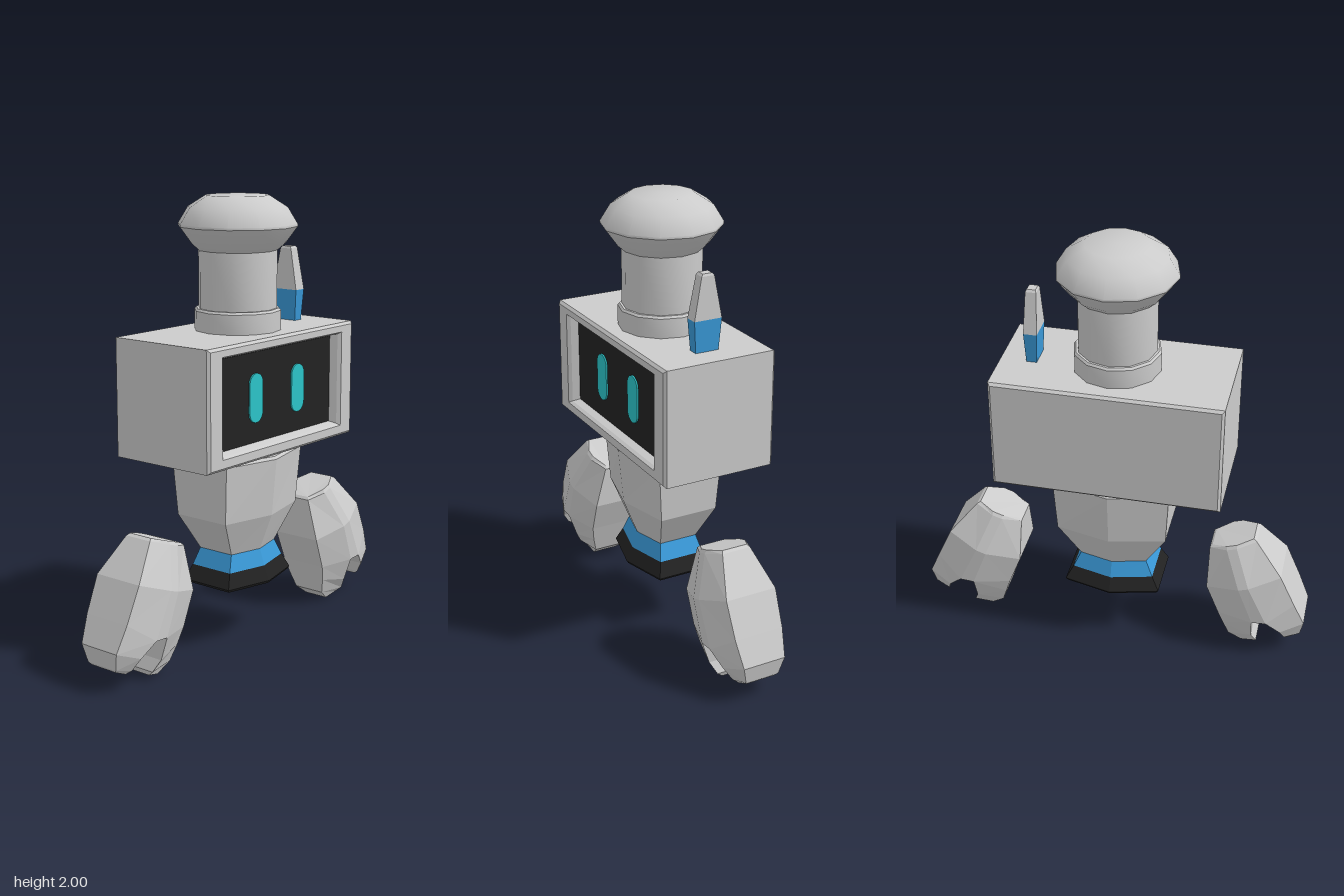
import * as THREE from 'three';
import { toCreasedNormals } from 'three/addons/utils/BufferGeometryUtils.js';

const GREY = 0xcccccc, BLUE = 0x3a9ad9, BLACK = 0x222222, CYAN = 0x2cc5c9;

function addMesh(parent, name, geometry, color = GREY, flatShading = true) {
  const mesh = new THREE.Mesh(geometry, new THREE.MeshStandardMaterial({ color, flatShading }));
  mesh.name = name;
  parent.add(mesh);
  return mesh;
}

// Closed solid through rings of [x, y, z] points, turned so its faces point outwards
function loft(rings) {
  const n = rings[0].length, last = rings.length - 1, tris = [];
  const cap = (ring, flip) => {
    for (let i = 1; i < n - 1; i++) {
      tris.push(flip ? [ring[0], ring[i + 1], ring[i]] : [ring[0], ring[i], ring[i + 1]]);
    }
  };
  for (let r = 0; r < last; r++) {
    for (let i = 0; i < n; i++) {
      const j = (i + 1) % n, a = rings[r], b = rings[r + 1];
      tris.push([a[i], a[j], b[j]], [a[i], b[j], b[i]]);
    }
  }
  cap(rings[0], true);
  cap(rings[last], false);
  const vec = (p) => new THREE.Vector3(...p);
  const volume = tris.reduce((sum, [a, b, c]) => sum + vec(a).dot(vec(b).cross(vec(c))), 0);
  if (volume < 0) tris.forEach((t) => t.reverse());
  const geometry = new THREE.BufferGeometry();
  geometry.setAttribute('position', new THREE.Float32BufferAttribute(tris.flat(2), 3));
  geometry.computeVertexNormals();
  return geometry;
}

// Upright rectangle at depth z
const frame = (hx, hy, cy, z) =>
  [[-hx, cy - hy, z], [hx, cy - hy, z], [hx, cy + hy, z], [-hx, cy + hy, z]];

// Level six-sided ring with a corner at the front and back
const hexagon = ([y, x, z]) => {
  const s = z * 0.7;
  return [[x, y, s], [0, y, z], [-x, y, s], [-x, y, -s], [0, y, -z], [x, y, -s]];
};

// Level rectangle around a centre cx
const slab = ([y, x, z], cx) => [[cx - x, y, z], [cx + x, y, z], [cx + x, y, -z], [cx - x, y, -z]];

// Ring from [x, y, half thickness] points, run along the front and back again behind
const thick = (points, side) => [
  ...points.map(([x, y, z]) => [x * side, y, z]),
  ...[...points].reverse().map(([x, y, z]) => [x * side, y, -z]),
];

function createHead() {
  const head = new THREE.Group();
  head.name = 'head';
  const cy = 1.153, sy = 1.157;
  addMesh(head, 'headShell', loft([
    frame(0.498, 0.25, cy, -0.265),
    frame(0.51, 0.262, cy, -0.253),
    frame(0.51, 0.262, cy, 0.253),
    frame(0.498, 0.25, cy, 0.265),
    frame(0.422, 0.217, sy, 0.265),
    frame(0.41, 0.208, sy, 0.25),
    frame(0.395, 0.198, sy, 0.215),
  ]));
  const screen = addMesh(head, 'screen', new THREE.BoxGeometry(0.79, 0.396, 0.01), BLACK);
  screen.position.set(0, sy, 0.213);

  // Upright capsule eyes
  const shape = new THREE.Shape();
  shape.absarc(0, 0.063, 0.045, 0, Math.PI);
  shape.absarc(0, -0.063, 0.045, Math.PI, Math.PI * 2);
  for (const side of [-1, 1]) {
    const eye = addMesh(head, side > 0 ? 'leftEye' : 'rightEye',
      new THREE.ExtrudeGeometry(shape, { depth: 0.008, bevelEnabled: false, curveSegments: 8 }), CYAN);
    eye.position.set(side * 0.147, 1.155, 0.217);
  }
  return head;
}

function createHat() {
  const hat = new THREE.Group();
  hat.name = 'hat';
  const turned = (name, profile) => {
    const points = profile.map(([r, y]) => new THREE.Vector2(r, y));
    addMesh(hat, name, toCreasedNormals(new THREE.LatheGeometry(points, 12), 0.61), GREY, false);
  };
  turned('hatBand', [[0.193, 1.41], [0.193, 1.502], [0.185, 1.512], [0, 1.512]]);
  turned('hatColumn', [[0.175, 1.5], [0.175, 1.77]]);
  turned('hatCrown', [[0, 1.76], [0.17, 1.76], [0.21, 1.795], [0.264, 1.868], [0.264, 1.878],
    [0.22, 1.95], [0.14, 2], [0, 2]]);
  return hat;
}

function createAntenna() {
  const antenna = new THREE.Group();
  antenna.name = 'antenna';
  const part = (name, rows, color) => addMesh(antenna, name, loft(rows.map((r) => slab(r, 0.37))), color);
  part('antennaBase', [[1.41, 0.023, 0.054], [1.556, 0.03, 0.065]], BLUE);
  part('antennaTip', [[1.556, 0.03, 0.065], [1.742, 0.024, 0.03], [1.752, 0.019, 0.022]], GREY);
  return antenna;
}

function createBody() {
  const body = new THREE.Group();
  body.name = 'body';
  const part = (name, rows, color) => addMesh(body, name, loft(rows.map(hexagon)), color);
  part('torso', [[0.867, 0.257, 0.212], [0.855, 0.266, 0.222], [0.595, 0.252, 0.197],
    [0.425, 0.155, 0.13]], GREY);
  part('waist', [[0.425, 0.155, 0.13], [0.35, 0.188, 0.155]], BLUE);
  part('foot', [[0.35, 0.188, 0.155], [0.285, 0.222, 0.185], [0.272, 0.213, 0.177]], BLACK);
  return body;
}

function createHand(side) {
  const hand = new THREE.Group();
  hand.name = side > 0 ? 'leftHand' : 'rightHand';
  const part = (name, rows) => addMesh(hand, name, loft(rows.map((r) => thick(r, side))));
  // Shared row where the palm splits into finger and thumb
  const split = [[0.505, 0.2, 0.115], [0.67, 0.21, 0.168], [0.735, 0.215, 0.168], [0.855, 0.305, 0.115]];
  part('palm', [
    [[0.458, 0.552, 0.06], [0.53, 0.58, 0.095], [0.575, 0.595, 0.095], [0.645, 0.617, 0.06]],
    [[0.447, 0.54, 0.068], [0.53, 0.565, 0.105], [0.575, 0.58, 0.105], [0.66, 0.608, 0.068]],
    [[0.447, 0.35, 0.12], [0.6, 0.395, 0.172], [0.645, 0.41, 0.172], [0.785, 0.46, 0.12]],
    split,
  ]);
  part('finger', [
    split.slice(0, 2),
    [[0.53, 0.125, 0.1], [0.668, 0.1, 0.13]],
    [[0.555, 0.05, 0.078], [0.69, 0.045, 0.1]],
    [[0.615, 0.003, 0.06], [0.68, 0.02, 0.07]],
  ]);
  part('thumb', [
    split.slice(2),
    [[0.8, 0.15, 0.14], [0.905, 0.19, 0.1]],
    [[0.82, 0.095, 0.105], [0.89, 0.11, 0.08]],
    [[0.833, 0.077, 0.08], [0.88, 0.097, 0.07]],
  ]);
  return hand;
}

export function createModel() {
  const robot = new THREE.Group();
  robot.name = 'robot';
  robot.add(createHead(), createHat(), createAntenna(), createBody(), createHand(1), createHand(-1));
  return robot;
}
